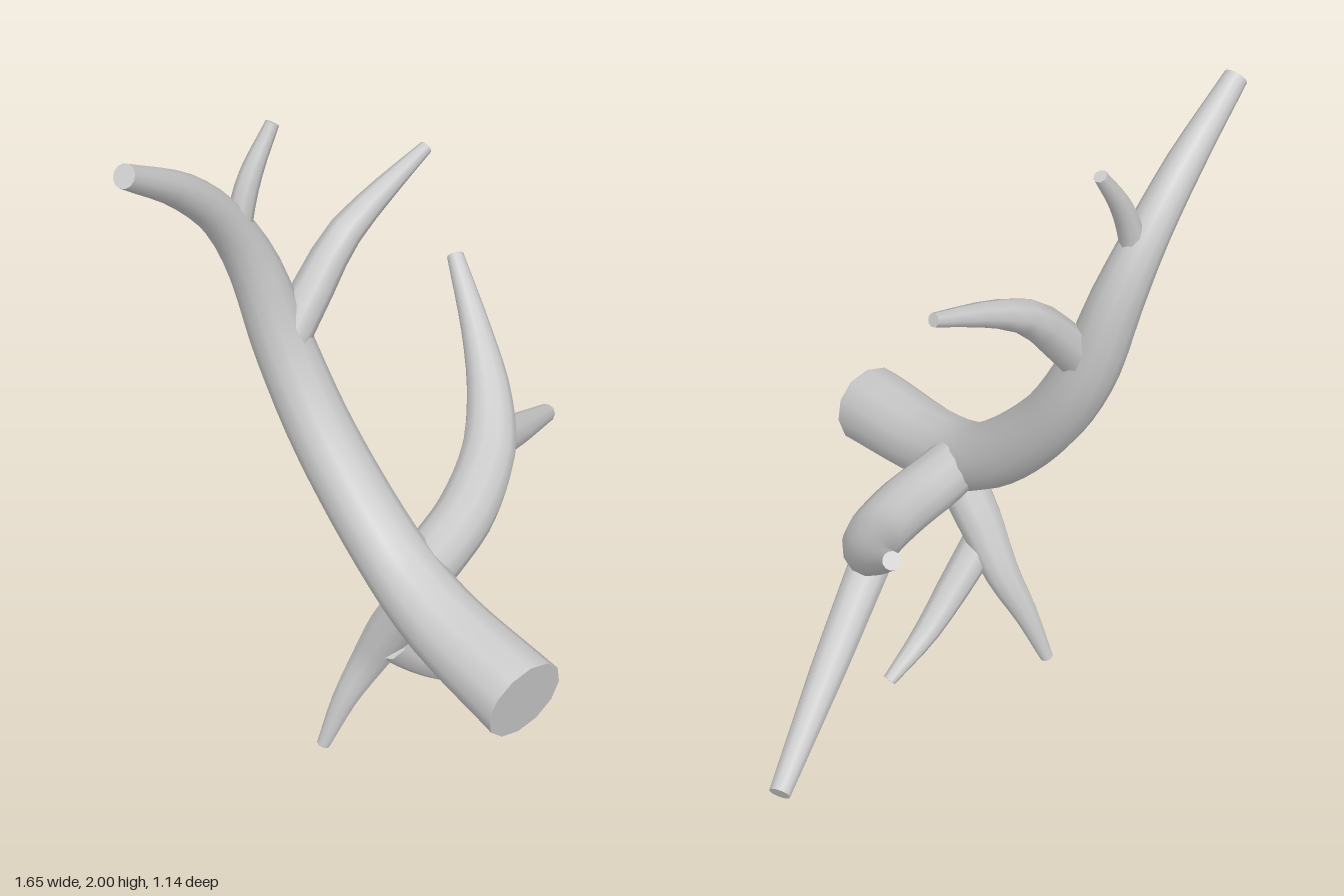
import * as THREE from 'three';

const material = new THREE.MeshStandardMaterial({ color: 0xcccccc });

// Bends a capped cylinder along a smooth path of [x, y, z, radius] stations.
function taperedLimb(name, stations, sides, steps) {
  const curve = new THREE.CatmullRomCurve3(stations.map(([x, y, z]) => new THREE.Vector3(x, y, z)));
  const { tangents, normals, binormals } = curve.computeFrenetFrames(steps);
  const last = stations.length - 1;
  const radiusAt = (u) => {
    const s = curve.getUtoTmapping(u) * last;
    const i = Math.min(Math.floor(s), last - 1);
    return THREE.MathUtils.lerp(stations[i][3], stations[i + 1][3], s - i);
  };
  const geometry = new THREE.CylinderGeometry(1, 1, 1, sides, steps);
  const { position, normal } = geometry.attributes;
  const v = new THREE.Vector3();
  const n = new THREE.Vector3();
  const basis = new THREE.Matrix4();
  for (let i = 0; i < position.count; i++) {
    v.fromBufferAttribute(position, i);
    n.fromBufferAttribute(normal, i);
    const k = Math.round((v.y + 0.5) * steps);
    basis.makeBasis(normals[k], tangents[k], binormals[k].clone().negate());
    v.setY(0).multiplyScalar(radiusAt(k / steps)).applyMatrix4(basis).add(curve.getPointAt(k / steps));
    n.applyMatrix4(basis);
    position.setXYZ(i, v.x, v.y, v.z);
    normal.setXYZ(i, n.x, n.y, n.z);
  }
  const mesh = new THREE.Mesh(geometry, material);
  mesh.name = name;
  return mesh;
}

export function createModel() {
  const group = new THREE.Group();
  group.name = 'branchingAntler';

  // Main beam: thick cut base, sweeping back, up and out to its tip
  group.add(taperedLimb('mainBeam', [
    [-0.37, 0.58, 0.55, 0.124],
    [-0.335, 0.64, 0.2, 0.11],
    [-0.31, 0.735, -0.01, 0.1],
    [-0.305, 1.0, -0.27, 0.092],
    [-0.317, 1.25, -0.408, 0.085],
    [-0.36, 1.5, -0.467, 0.072],
    [-0.435, 1.66, -0.482, 0.06],
    [-0.58, 1.82, -0.467, 0.05],
    [-0.8, 1.975, -0.425, 0.033],
  ], 12, 32));

  // Long side branch and the straight tine that forks from it
  group.add(taperedLimb('sideBranch', [
    [-0.3, 0.685, 0.07, 0.082],
    [-0.18, 0.69, 0.035, 0.085],
    [0, 0.715, -0.02, 0.085],
    [0.2, 0.775, -0.125, 0.08],
    [0.32, 0.86, -0.24, 0.065],
    [0.41, 0.965, -0.375, 0.045],
    [0.5, 1.115, -0.55, 0.025],
  ], 12, 20));
  group.add(taperedLimb('sideTine', [
    [0.22, 0.755, -0.155, 0.06],
    [0.5, 0.602, -0.297, 0.05],
    [0.81, 0.43, -0.455, 0.03],
  ], 10, 8));

  // Two tines on the upper beam
  group.add(taperedLimb('upperTine', [
    [-0.32, 1.27, -0.395, 0.062],
    [-0.22, 1.39, -0.392, 0.058],
    [-0.105, 1.508, -0.393, 0.05],
    [0.05, 1.585, -0.393, 0.036],
    [0.23, 1.65, -0.397, 0.019],
  ], 8, 8));
  group.add(taperedLimb('crownTine', [
    [-0.41, 1.56, -0.47, 0.03],
    [-0.395, 1.66, -0.47, 0.036],
    [-0.355, 1.77, -0.468, 0.032],
    [-0.27, 1.9, -0.464, 0.019],
  ], 8, 8));

  // Lower branch hanging under the beam, with its forked tine
  group.add(taperedLimb('lowerBranch', [
    [-0.3, 0.64, 0.09, 0.075],
    [-0.315, 0.49, -0.005, 0.068],
    [-0.335, 0.33, -0.085, 0.053],
    [-0.385, 0.18, -0.14, 0.037],
    [-0.436, 0.01, -0.184, 0.02],
  ], 10, 12));
  group.add(taperedLimb('lowerTine', [
    [-0.32, 0.43, -0.012, 0.056],
    [-0.21, 0.305, -0.012, 0.05],
    [-0.09, 0.185, -0.015, 0.038],
    [0.05, 0.085, -0.016, 0.02],
  ], 8, 8));

  return group;
}
